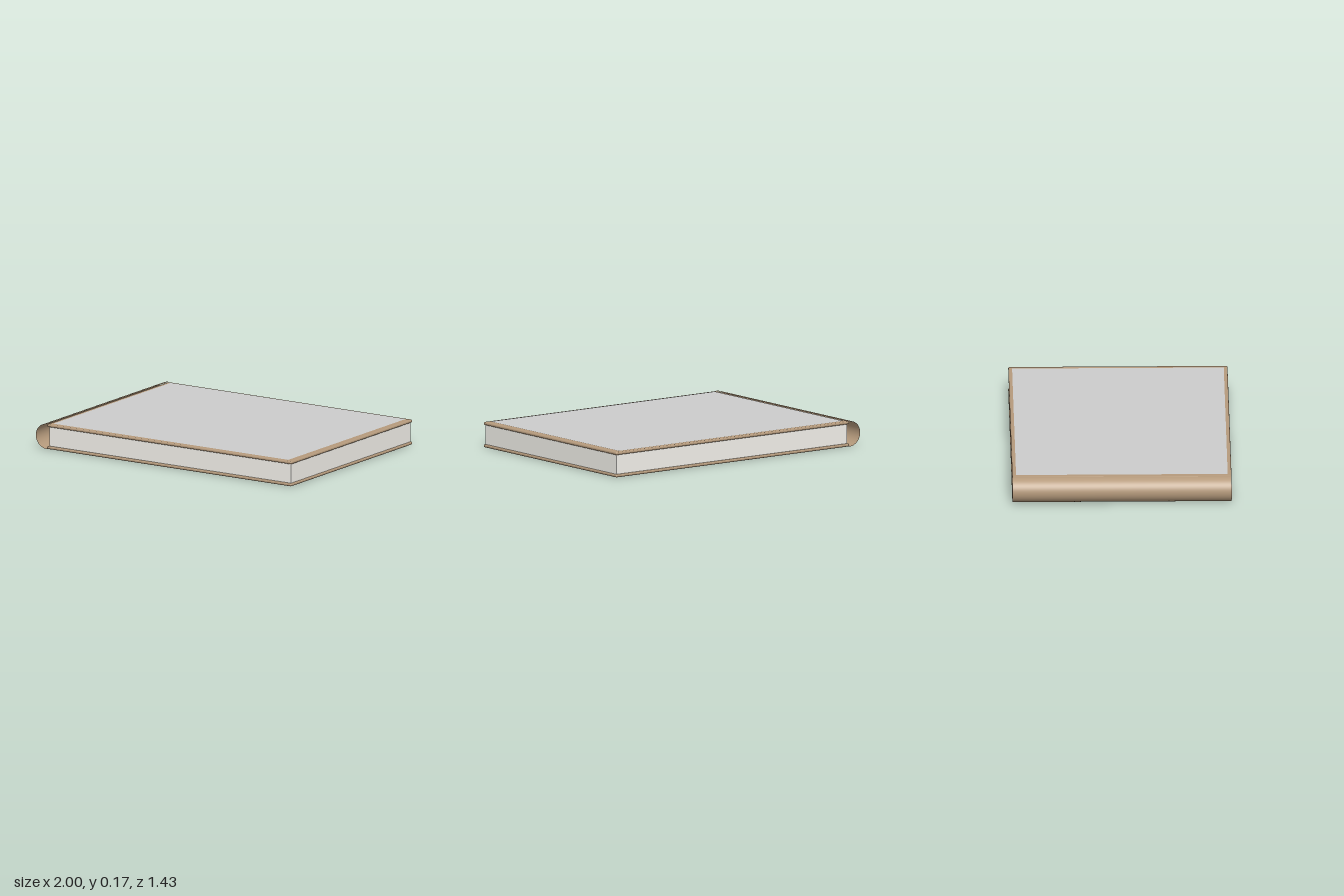
import * as THREE from 'three';
import { RoundedBoxGeometry } from 'three/addons/geometries/RoundedBoxGeometry.js';

const HEIGHT = 0.168;  // closed thickness
const BOARD = 0.02;    // cover board thickness
const DEPTH = 1.43;    // board length along z
const HINGE = -0.913;  // x of the boards' spine edge

export function createModel() {
  const book = new THREE.Group();
  book.name = 'book';
  const leather = new THREE.MeshStandardMaterial({ color: 0xb59a7c });
  const paper = new THREE.MeshStandardMaterial({ color: 0xf4f2ec });
  const grey = new THREE.MeshStandardMaterial({ color: 0xcccccc });
  const spineMaterial = new THREE.MeshStandardMaterial({ color: 0xb59a7c, side: THREE.DoubleSide });

  const add = (name, geometry, material, x, y, z = 0) => {
    const mesh = new THREE.Mesh(geometry, material);
    mesh.name = name;
    mesh.position.set(x, y, z);
    book.add(mesh);
    return mesh;
  };

  // Two cover boards with rounded edges
  const boardGeometry = new RoundedBoxGeometry(1 - HINGE, BOARD, DEPTH, 4, 0.0095);
  const boardX = (1 + HINGE) / 2;
  add('backCover', boardGeometry, leather, boardX, BOARD / 2);
  add('frontCover', boardGeometry, leather, boardX, HEIGHT - BOARD / 2);

  // Page block, set in slightly from the boards
  add('pages', new THREE.BoxGeometry(1.89, HEIGHT - 2 * BOARD + 0.004, 1.405), paper, 0.045, HEIGHT / 2);

  // Flat panel on the front cover
  const panel = add('coverPanel', new THREE.PlaneGeometry(1.84, 1.38), grey, 0.04, HEIGHT + 0.002);
  panel.rotation.x = -Math.PI / 2;

  // Open half-round spine, bulging towards -x
  const radius = HEIGHT / 2;
  const spine = add('spine',
    new THREE.CylinderGeometry(radius, radius, DEPTH, 32, 1, true, Math.PI, Math.PI),
    spineMaterial, HINGE, radius);
  spine.rotation.x = Math.PI / 2;
  spine.scale.x = (1 + HINGE) / radius;

  return book;
}
